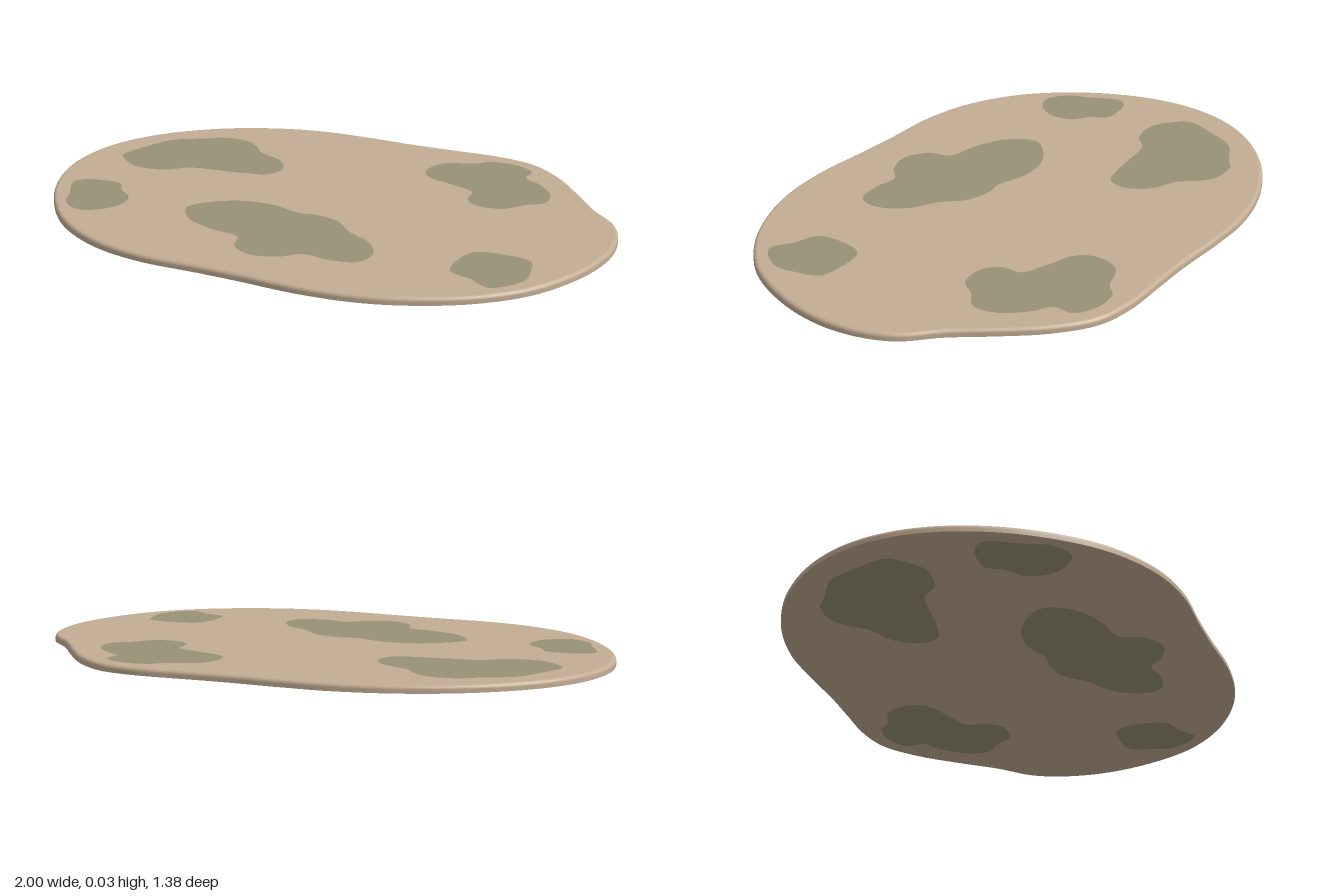
import * as THREE from 'three';

const HEIGHT = 0.025;

// Outline and patch control points as x, z pairs
const OUTLINE = [
  [-1, -0.03], [-0.97, -0.21], [-0.88, -0.37], [-0.72, -0.52], [-0.53, -0.62], [-0.34, -0.67],
  [-0.18, -0.68], [0.03, -0.68], [0.19, -0.688], [0.35, -0.695], [0.49, -0.67], [0.62, -0.58],
  [0.73, -0.46], [0.83, -0.34], [0.93, -0.245], [0.98, -0.14], [1, 0.01], [0.97, 0.19],
  [0.88, 0.385], [0.74, 0.525], [0.57, 0.62], [0.41, 0.67], [0.22, 0.688], [0.03, 0.68],
  [-0.13, 0.677], [-0.34, 0.677], [-0.53, 0.635], [-0.72, 0.525], [-0.88, 0.34], [-0.97, 0.15],
];
const PATCHES = {
  backRightPatch: [
    [-0.88, -0.12], [-0.85, -0.22], [-0.8, -0.33], [-0.7, -0.395], [-0.64, -0.435], [-0.55, -0.44],
    [-0.49, -0.405], [-0.44, -0.35], [-0.34, -0.305], [-0.29, -0.225], [-0.31, -0.16], [-0.4, -0.13],
    [-0.5, -0.115], [-0.6, -0.095], [-0.66, -0.04], [-0.77, -0.025], [-0.85, -0.075],
  ],
  backLeftPatch: [
    [0.17, -0.45], [0.2, -0.535], [0.3, -0.58], [0.34, -0.62], [0.43, -0.63], [0.51, -0.59],
    [0.515, -0.52], [0.58, -0.48], [0.65, -0.4], [0.66, -0.32], [0.6, -0.265], [0.555, -0.205],
    [0.46, -0.195], [0.41, -0.24], [0.4, -0.31], [0.31, -0.345], [0.2, -0.385],
  ],
  centrePatch: [
    [-0.41, 0.24], [-0.35, 0.16], [-0.26, 0.11], [-0.155, 0.1], [-0.05, 0.13], [0.02, 0.12],
    [0.11, 0.145], [0.18, 0.21], [0.27, 0.26], [0.33, 0.35], [0.315, 0.43], [0.22, 0.455],
    [0.13, 0.445], [0.075, 0.495], [-0.02, 0.525], [-0.1, 0.48], [-0.13, 0.405], [-0.235, 0.385], [-0.35, 0.335],
  ],
  frontRightPatch: [
    [-0.885, 0.2], [-0.85, 0.16], [-0.73, 0.15], [-0.695, 0.2], [-0.635, 0.25], [-0.625, 0.335],
    [-0.675, 0.405], [-0.73, 0.425], [-0.8, 0.385], [-0.835, 0.31],
  ],
  frontLeftPatch: [
    [0.59, 0.26], [0.615, 0.19], [0.725, 0.17], [0.8, 0.185], [0.83, 0.265], [0.84, 0.335],
    [0.795, 0.415], [0.755, 0.44], [0.685, 0.4], [0.605, 0.37],
  ],
};

// Smooth closed loop through the control points, as Vector2(x, z)
function smoothLoop(points, count) {
  const curve = new THREE.CatmullRomCurve3(points.map(([x, z]) => new THREE.Vector3(x, 0, z)), true);
  return curve.getPoints(count).slice(0, -1).map((p) => new THREE.Vector2(p.x, p.z));
}

// Move a loop inwards along its normals
function inset(loop, distance) {
  const n = loop.length;
  return loop.map((p, i) => {
    const t = loop[(i + 1) % n].clone().sub(loop[(i + n - 1) % n]).normalize();
    return new THREE.Vector2(p.x - t.y * distance, p.y + t.x * distance);
  });
}

// Flat face at height y, facing up or down, with optional holes
function flatFace(loop, holes, y, up) {
  const flip = (l) => l.map((p) => new THREE.Vector2(p.x, up ? -p.y : p.y));
  const shape = new THREE.Shape(flip(loop));
  shape.holes = holes.map((h) => new THREE.Path(flip(h)));
  const geometry = new THREE.ShapeGeometry(shape);
  geometry.rotateX(up ? -Math.PI / 2 : Math.PI / 2);
  return geometry.translate(0, y, 0);
}

// Smooth wall lofted through rings of equal length
function wall(rings) {
  const n = rings[0].loop.length;
  const positions = [];
  const index = [];
  rings.forEach(({ loop, y }) => loop.forEach((p) => positions.push(p.x, y, p.y)));
  for (let r = 0; r < rings.length - 1; r++) {
    for (let i = 0; i < n; i++) {
      const a = r * n + i;
      const b = r * n + ((i + 1) % n);
      index.push(a, a + n, b, b, a + n, b + n);
    }
  }
  const geometry = new THREE.BufferGeometry();
  geometry.setAttribute('position', new THREE.Float32BufferAttribute(positions, 3));
  geometry.setIndex(index);
  geometry.computeVertexNormals();
  return geometry;
}

export function createModel() {
  const tan = new THREE.MeshStandardMaterial({ color: 0xc3ad93 });
  tan.name = 'tan';
  const moss = new THREE.MeshStandardMaterial({ color: 0x989276 });
  moss.name = 'moss green';

  const model = new THREE.Group();
  model.name = 'patchedSlab';
  const add = (name, geometry, material) => {
    const mesh = new THREE.Mesh(geometry, material);
    mesh.name = name;
    model.add(mesh);
  };

  // Edge with a rounded upper rim
  const outline = smoothLoop(OUTLINE, 180);
  const radius = 0.013;
  const rings = [{ loop: outline, y: 0 }];
  for (let k = 0; k <= 5; k++) {
    const a = (k / 5) * Math.PI / 2;
    rings.push({
      loop: inset(outline, radius * (1 - Math.cos(a))),
      y: HEIGHT - radius * (1 - Math.sin(a)),
    });
  }
  add('roundedEdge', wall(rings), tan);

  // Top and underside, with the patches let into both
  const patches = Object.entries(PATCHES).map(([name, points]) => [name, smoothLoop(points, 72)]);
  const holes = patches.map(([, loop]) => loop);
  add('topSurface', flatFace(rings[rings.length - 1].loop, holes, HEIGHT, true), tan);
  add('underside', flatFace(outline, holes, 0, false), tan);
  for (const [name, loop] of patches) {
    add(name + 'Top', flatFace(loop, [], HEIGHT, true), moss);
    add(name + 'Underside', flatFace(loop, [], 0, false), moss);
  }
  return model;
}
